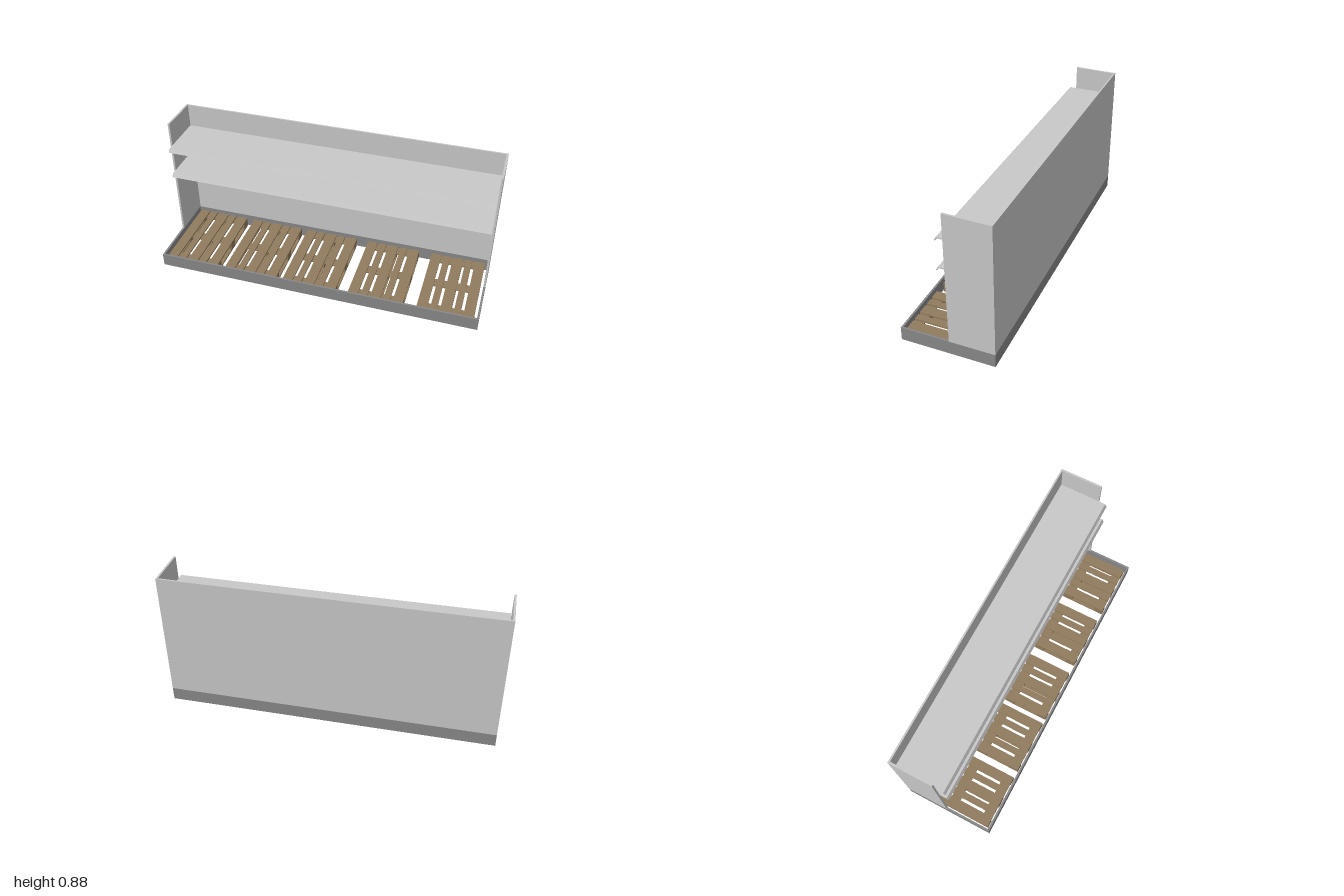
import * as THREE from 'three';

const lightGrey = new THREE.MeshStandardMaterial({ name: 'light grey metal', color: 0xc8c8c8 });
const darkGrey = new THREE.MeshStandardMaterial({ name: 'dark grey plinth', color: 0x888888 });
const wood = new THREE.MeshStandardMaterial({ name: 'pallet wood', color: 0x917b5d });

// Box given by its limits on each axis
function box(parent, name, material, [x0, x1], [y0, y1], [z0, z1]) {
  const mesh = new THREE.Mesh(new THREE.BoxGeometry(x1 - x0, y1 - y0, z1 - z0), material);
  mesh.position.set((x0 + x1) / 2, (y0 + y1) / 2, (z0 + z1) / 2);
  mesh.name = name;
  parent.add(mesh);
  return mesh;
}

// Side profile of [z, y] points, extruded along x and centred on centreX
function profile(parent, name, material, points, width, centreX = 0) {
  const shape = new THREE.Shape(points.map(([z, y]) => new THREE.Vector2(z, y)));
  const geometry = new THREE.ExtrudeGeometry(shape, { depth: width, bevelEnabled: false });
  geometry.rotateY(-Math.PI / 2).translate(centreX + width / 2, 0, 0);
  const mesh = new THREE.Mesh(geometry, material);
  mesh.name = name;
  parent.add(mesh);
  return mesh;
}

// Block pallet: three skids, nine blocks, three cross boards, five deck boards
function makePallet(x) {
  const pallet = new THREE.Group();
  pallet.name = 'pallet';
  pallet.position.x = x;
  const half = 0.169, length = 0.255;
  const columns = [[-half, -half + 0.043], [-0.031, 0.031], [half - 0.043, half]];
  const rows = [[-length, -length + 0.06], [-0.03, 0.03], [length - 0.06, length]];
  for (const column of columns) {
    box(pallet, 'skid', wood, column, [0.002, 0.012], [-length, length]);
    for (const row of rows) box(pallet, 'block', wood, column, [0.012, 0.045], row);
  }
  for (const row of rows) box(pallet, 'crossBoard', wood, [-half, half], [0.045, 0.054], row);
  const deck = [[-half, -0.107], [-0.089, -0.049], [-0.031, 0.031], [0.049, 0.089], [0.107, half]];
  for (const board of deck) box(pallet, 'deckBoard', wood, board, [0.054, 0.064], [-length, length]);
  return pallet;
}

export function createModel() {
  const model = new THREE.Group();
  model.name = 'palletShelf';

  // Open plinth frame
  const plinth = new THREE.Group();
  plinth.name = 'plinth';
  model.add(plinth);
  const depth = 0.277, wall = 0.012, plinthTop = 0.082;
  box(plinth, 'plinthFront', darkGrey, [-1, 1], [0, plinthTop], [depth - wall, depth]);
  box(plinth, 'plinthBack', darkGrey, [-1, 1], [0, plinthTop], [-depth, -depth + wall]);
  for (const s of [-1, 1]) {
    const x = s * (1 - wall / 2);
    box(plinth, 'plinthSide', darkGrey, [x - wall / 2, x + wall / 2], [0, plinthTop], [-depth + wall, depth - wall]);
  }

  // Back and side panels
  box(model, 'backPanel', lightGrey, [-1 + wall, 1 - wall], [plinthTop, 0.871], [-depth, -depth + 0.01]);
  for (const s of [-1, 1]) {
    profile(model, 'sidePanel', lightGrey,
      [[-depth, plinthTop], [-0.011, plinthTop], [-0.011, 0.875], [-depth, 0.871]], wall, s * (1 - wall / 2));
  }

  // Shelves with a front lip bent downwards
  for (const y of [0.725, 0.546]) {
    profile(model, 'shelf', lightGrey, [
      [-depth + 0.01, y - 0.007], [0.027, y - 0.007], [0.037, y - 0.023],
      [0.043, y - 0.021], [0.031, y], [-depth + 0.01, y],
    ], 2 - 2 * wall);
  }

  // Row of pallets
  for (const x of [-0.806, -0.416, -0.035, 0.381, 0.801]) model.add(makePallet(x));

  return model;
}
